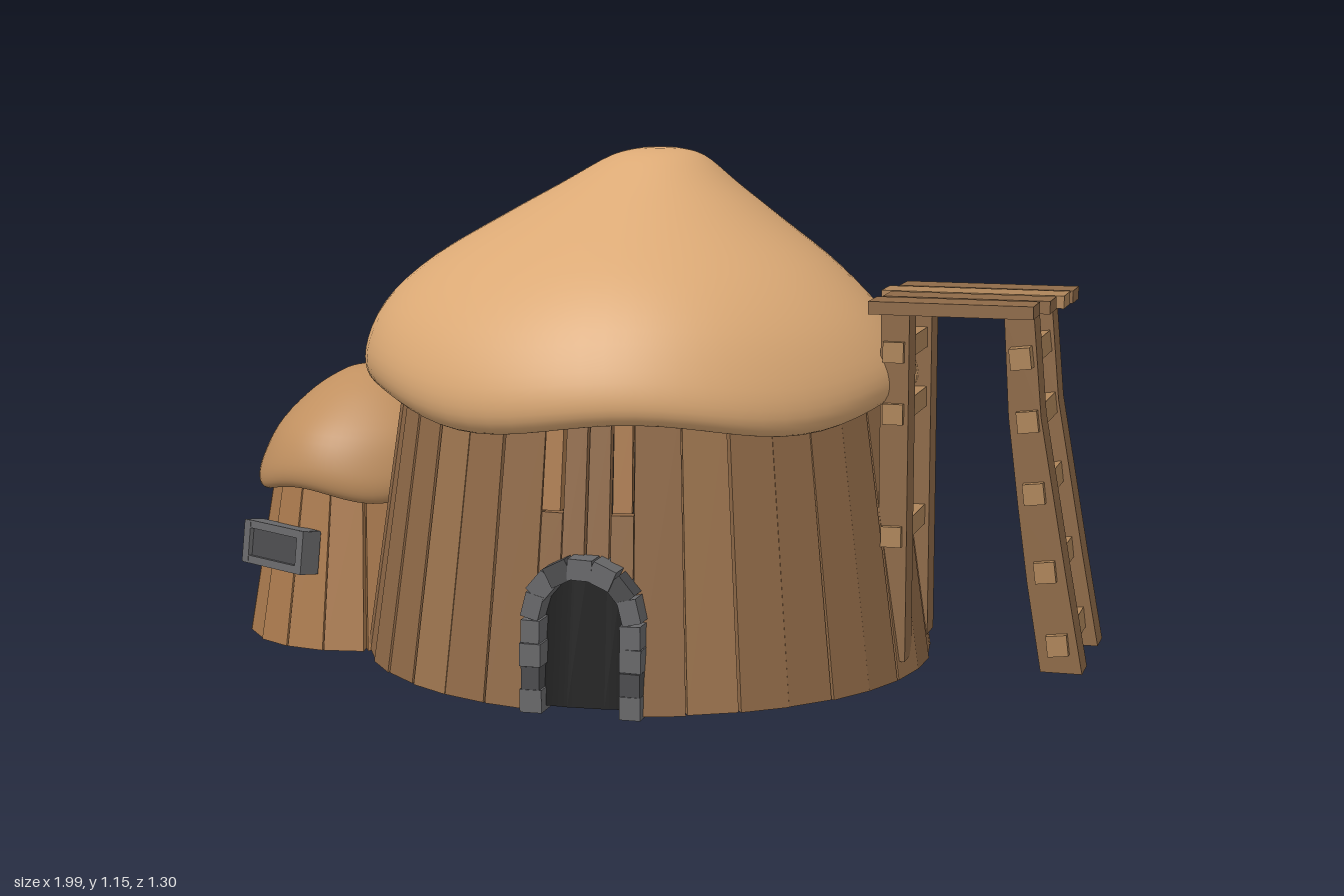
import * as THREE from 'three';
import { mergeVertices } from 'three/addons/utils/BufferGeometryUtils.js';

const mat = (name, color, extra = {}) => {
  const m = new THREE.MeshStandardMaterial({ color, ...extra });
  m.name = name;
  return m;
};

export function createModel() {
  const M = {
    thatch: mat('thatch', 0xdba975),
    thatchSmall: mat('dark thatch', 0xc09060),
    plank: mat('wall plank', 0x8f6947),
    plankLight: mat('light wall plank', 0x9b734d),
    annexPlank: mat('annex plank', 0xa9794d),
    timber: mat('timber', 0x8e6a48),
    rung: mat('rung wood', 0xae855a),
    stone: mat('stone', 0x68686a),
    stoneDark: mat('dark stone', 0x4c4c4e),
    dark: mat('dark interior', 0x090909),
  };
  const model = new THREE.Group();
  let seed = 7;
  const rand = () => (seed = (seed * 16807) % 2147483647) / 2147483647;
  const jit = (a) => (rand() - 0.5) * 2 * a;

  const group = (name, parent = model) => {
    const g = new THREE.Group();
    g.name = name;
    parent.add(g);
    return g;
  };
  const add = (parent, name, geo, material, x = 0, y = 0, z = 0) => {
    const m = new THREE.Mesh(geo, material);
    m.name = name;
    m.position.set(x, y, z);
    parent.add(m);
    return m;
  };
  const box = (parent, name, w, h, d, material, x, y, z) =>
    add(parent, name, new THREE.BoxGeometry(w, h, d), material, x, y, z);

  // Wall plank: tapers and leans inward with height
  const stave = (parent, angle, wall, y0, y1, share, material, out = 0) => {
    const r = (y) => wall.rb + (wall.rt - wall.rb) * (y / wall.h) + out;
    const t = 0.03, w = (2 * Math.PI / wall.n) * share;
    const geo = new THREE.BoxGeometry(1, 1, t);
    const p = geo.attributes.position;
    for (let i = 0; i < p.count; i++) {
      const y = p.getY(i) > 0 ? y1 : y0;
      p.setXYZ(i, p.getX(i) * r(y) * w, y, r(y) - t / 2 + p.getZ(i));
    }
    geo.computeVertexNormals();
    const m = add(parent, 'plank', geo, material, wall.cx, 0, 0);
    m.rotation.y = angle;
    return m;
  };

  // Thatch: smooth lathe with a wavy eave and a leaning crown
  const roof = (name, pts, material, cx, lobes, phase, amp, low, high, lean) => {
    const curve = new THREE.SplineCurve(pts.map(([x, y]) => new THREE.Vector2(x, y)));
    const line = curve.getPoints(44).map((v) => new THREE.Vector2(Math.max(0, v.x), v.y));
    let geo = new THREE.LatheGeometry(line, 72);
    const p = geo.attributes.position;
    for (let i = 0; i < p.count; i++) {
      const x = p.getX(i), y = p.getY(i), z = p.getZ(i);
      const a = Math.atan2(x, z), k = THREE.MathUtils.clamp((high - y) / (high - low), 0, 1);
      const rim = Math.min(1, Math.hypot(x, z) / pts[3][0]);
      const wave = Math.cos(lobes * (a - phase)) + 0.3 * Math.sin(2 * a + 1);
      const swell = 1 + 0.02 * Math.sin(3 * a + 6 * y) * k * (1 - k) * 4;
      p.setXYZ(i, x * swell + lean(k), y - amp * wave * k * k * rim, z * swell + 0.02 * Math.sin(k * Math.PI));
    }
    geo.deleteAttribute('uv');
    geo.deleteAttribute('normal');
    geo = mergeVertices(geo, 1e-4);
    geo.computeVertexNormals();
    add(model, name, geo, material, cx, 0, 0);
  };

  // Main hut
  const main = { cx: -0.025, rb: 0.645, rt: 0.555, h: 0.62, n: 36 };
  const wall = group('mainWall');
  for (let i = 0; i < main.n; i++) {
    const a = (i + 0.5) * Math.PI * 2 / main.n + 0.058;
    if (i === 0 || i === main.n - 1) {
      // narrow boards above the doorway
      for (const s of [-1, 1]) {
        const outer = (i === 0) === (s > 0);
        stave(wall, a + s * 0.044, main, 0.29, outer ? 0.42 : 0.63, 0.46, M.plank, jit(0.004));
        if (outer) stave(wall, a + s * 0.044, main, 0.425, 0.63, 0.4, M.annexPlank, 0.004);
      }
    } else {
      const m = stave(wall, a + jit(0.006), main, 0.005 + rand() * 0.004, 0.64, 0.975,
        i % 5 === 2 ? M.plankLight : M.plank, jit(0.004));
      m.rotation.z = jit(0.004);
    }
  }
  add(wall, 'interior', new THREE.CylinderGeometry(0.522, 0.617, 0.62, 48), M.dark, main.cx, 0.322, 0);
  roof('mainRoof', [[0, 0.66], [0.48, 0.655], [0.555, 0.625], [0.598, 0.598], [0.624, 0.632], [0.612, 0.7],
    [0.555, 0.8], [0.455, 0.9], [0.3, 1.005], [0.2, 1.07], [0.11, 1.13], [0.05, 1.148], [0, 1.15]],
    M.thatch, 0, 5, 0.87, 0.02, 0.6, 1.15, (k) => -0.035 * k - 0.035 * Math.sin(k * Math.PI));

  // Side hut
  const side = { cx: -0.72, rb: 0.28, rt: 0.212, h: 0.4, n: 18 };
  const annex = group('annexWall');
  for (let i = 0; i < side.n; i++) {
    const a = (i + 0.5) * Math.PI * 2 / side.n;
    if (Math.sin(a) > 0.8) continue;
    stave(annex, a + jit(0.01), side, 0.006, 0.41, 0.95, M.annexPlank, jit(0.004));
  }
  add(annex, 'interior', new THREE.CylinderGeometry(0.185, 0.25, 0.39, 32), M.dark, side.cx, 0.205, 0);
  roof('annexRoof', [[0, 0.41], [0.17, 0.405], [0.215, 0.385], [0.238, 0.358], [0.253, 0.375], [0.245, 0.42],
    [0.205, 0.5], [0.135, 0.575], [0.07, 0.618], [0.03, 0.63], [0, 0.632]],
    M.thatchSmall, -0.7, 4, 0.5, 0.014, 0.36, 0.632, (k) => -0.022 * k);

  // Stone doorway
  const door = group('doorway');
  const dx = 0.012, spring = 0.205;
  for (const s of [-1, 1]) {
    for (let j = 0; j < 4; j++) {
      const m = box(door, 'jambStone', 0.044 + jit(0.005), 0.049, 0.09 + jit(0.006),
        j % 3 === 1 ? M.stoneDark : M.stone, dx + s * 0.109, 0.026 + j * 0.05, 0.6);
      m.rotation.z = jit(0.04);
    }
  }
  for (let j = 0; j < 7; j++) {
    const a = (j + 0.5) * Math.PI / 7;
    const m = box(door, 'archStone', 0.043 + jit(0.004), 0.053, 0.09 + jit(0.006),
      j % 3 === 1 ? M.stoneDark : M.stone, dx + Math.cos(a) * 0.109, spring + Math.sin(a) * 0.109, 0.597);
    m.rotation.z = a + jit(0.04);
  }

  // Annex window
  const win = group('window');
  win.position.set(-0.845, 0.23, 0.228);
  win.rotation.set(-0.12, -0.48, 0, 'YXZ');
  for (const s of [-1, 1]) {
    box(win, 'windowRail', 0.21, 0.018, 0.05, M.stone, 0, s * 0.041, 0);
    box(win, 'windowStile', 0.022, 0.098, 0.052, M.stone, s * 0.096, 0, 0);
  }
  box(win, 'windowPane', 0.18, 0.07, 0.03, M.stoneDark, 0, 0, 0);

  // Ladder with curved rails
  const ladder = group('ladder');
  const rail = new THREE.Shape([[0.905, 0.045], [0.995, 0.045], [0.957, 0.25], [0.927, 0.42], [0.895, 0.6], [0.876, 0.815],
    [0.812, 0.815], [0.825, 0.6], [0.85, 0.4], [0.872, 0.24]].map(([x, y]) => new THREE.Vector2(x, y)));
  for (const z of [0.092, -0.172])
    add(ladder, 'ladderRail', new THREE.ExtrudeGeometry(rail, { depth: 0.08, bevelEnabled: false }), M.timber, 0, 0, z);
  [[0.853, 0.73, 0.42], [0.868, 0.592, 0.38], [0.885, 0.437, 0.385], [0.912, 0.267, 0.38], [0.942, 0.108, 0.38]]
    .forEach(([x, y, len]) => {
      box(ladder, 'rung', 0.045, 0.046, len, M.rung, x, y, 0).rotation.z = 0.12;
    });

  // Platform posts against the wall
  const posts = group('platformPosts');
  for (const z of [0.132, -0.132]) box(posts, 'post', 0.062, 0.77, 0.075, M.timber, 0.576, 0.43, z);
  for (const y of [0.73, 0.595, 0.325]) box(posts, 'crossbar', 0.045, 0.045, 0.37, M.rung, 0.575, y, 0);

  // Platform deck
  const deck = group('platform');
  [[0.53, 0.92, -0.152], [0.51, 0.915, -0.048], [0.535, 0.9, 0.06], [0.525, 0.88, 0.167]].forEach(([a, b, z], i) =>
    box(deck, 'deckBoard', b - a, 0.028, 0.094, i === 1 ? M.rung : M.timber, (a + b) / 2, 0.829, z));

  return model;
}
